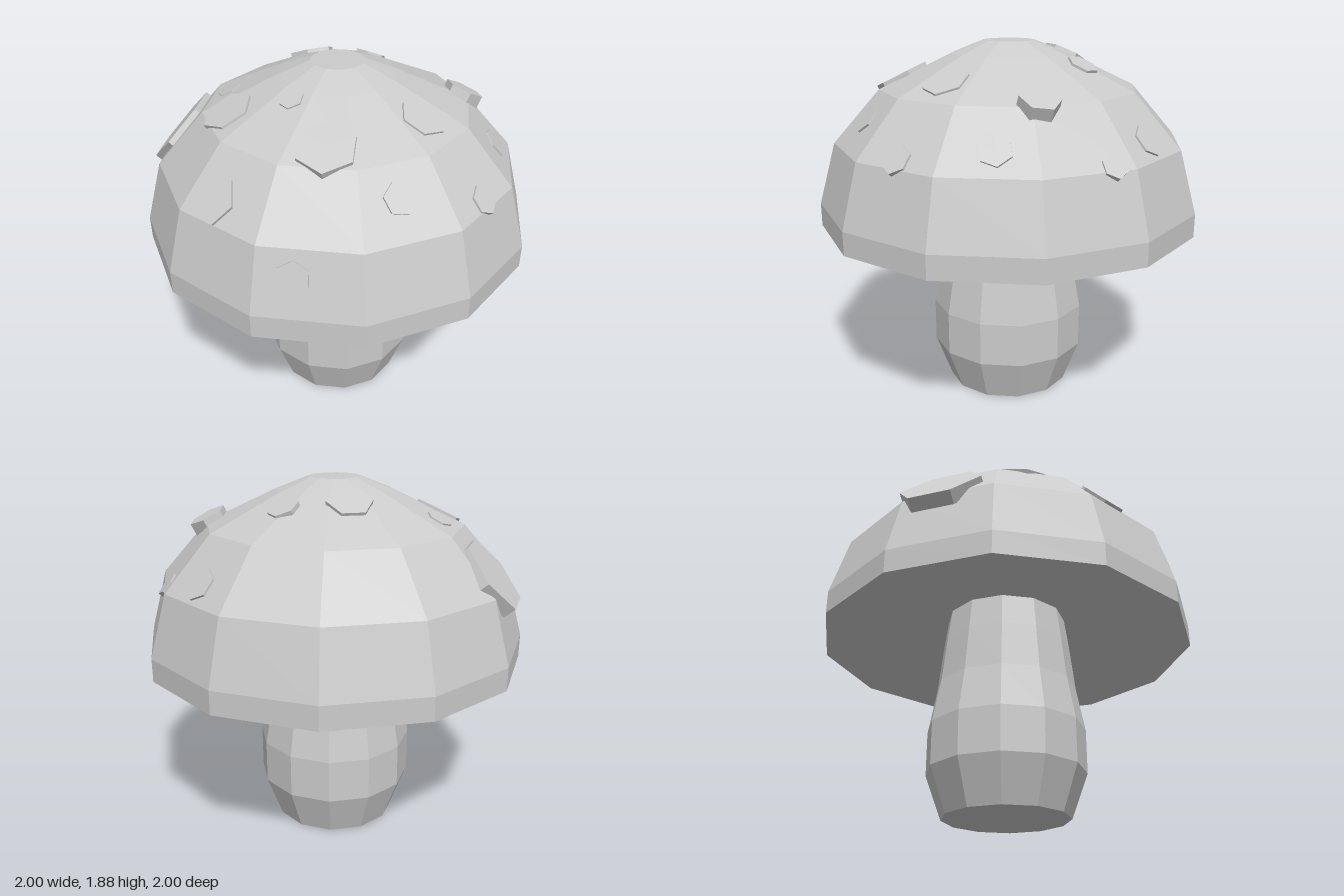
import * as THREE from 'three';

const SIDES = 12;
const STEP = (Math.PI * 2) / SIDES;

// Outer cap profile from rim to crown: [radius, height]
const CAP = [[1, 0.93], [1, 1.05], [0.91, 1.37], [0.67, 1.64], [0.3, 1.815], [0.135, 1.88], [0, 1.88]];
const STEM = [[0, 0], [0.33, 0], [0.415, 0.23], [0.415, 0.46], [0.372, 0.69], [0.345, 0.93], [0.32, 1.12], [0, 1.12]];

// Raised spots: [x, z, radius, spin in degrees, lift above the surface]
const SPOTS = [
  [-0.81, 0.16, 0.215, 30, 0.03],
  [0.17, 0.53, 0.145, 0, 0.02],
  [-0.285, 0.76, 0.125, 30, 0.015],
  [0.17, 0.9, 0.08, 0, 0.01],
  [-0.41, 0.37, 0.13, 0, 0.012],
  [-0.09, 0.33, 0.06, 20, 0.008],
  [0.52, 0.54, 0.08, 15, 0.01],
  [0.48, 0.13, 0.115, 10, 0.01],
  [0.82, 0.22, 0.075, 0, 0.01],
  [0.54, -0.35, 0.1, 15, 0.035],
  [0.76, -0.23, 0.08, 10, 0.01],
  [0.02, -0.4, 0.08, 20, 0.012],
  [-0.24, -0.23, 0.115, 30, 0.015],
  [0.22, -0.78, 0.085, 0, 0.01],
  [0.52, -0.7, 0.065, 0, 0.008],
  [-0.53, 0.14, 0.065, 0, 0.008],
];

function lathe(name, profile, material) {
  const points = profile.map(([r, y]) => new THREE.Vector2(r, y));
  const mesh = new THREE.Mesh(new THREE.LatheGeometry(points, SIDES), material);
  mesh.name = name;
  return mesh;
}

// Height and slope of the faceted cap, plus the facing of the facet at (x, z)
function capSurface(x, z) {
  const angle = Math.atan2(x, z);
  const facing = (Math.floor(angle / STEP) + 0.5) * STEP;
  const r = (Math.hypot(x, z) * Math.cos(angle - facing)) / Math.cos(STEP / 2);
  let i = 1;
  while (i < CAP.length - 2 && r < CAP[i + 1][0]) i++;
  const [r0, y0] = CAP[i];
  const [r1, y1] = CAP[i + 1];
  const y = y0 + ((y1 - y0) * (r0 - r)) / (r0 - r1);
  const tilt = Math.atan2(y1 - y0, (r0 - r1) * Math.cos(STEP / 2));
  return { y, tilt, facing };
}

export function createModel() {
  const group = new THREE.Group();
  group.name = 'mushroom';
  const material = new THREE.MeshStandardMaterial({ color: 0xcccccc, flatShading: true });

  group.add(lathe('stem', STEM, material));

  // Cap with a shallow hollow underside
  group.add(lathe('cap', [[0, 1.18], ...CAP], material));

  // Hexagonal spots lying on the cap facets
  const spots = new THREE.Group();
  spots.name = 'spots';
  for (const [x, z, radius, spin, lift] of SPOTS) {
    const { y, tilt, facing } = capSurface(x, z);
    const thickness = 0.04 + lift;
    const geometry = new THREE.CylinderGeometry(radius, radius, thickness, 6);
    geometry.rotateY(THREE.MathUtils.degToRad(spin));
    geometry.translate(0, lift - thickness / 2, 0);
    const spot = new THREE.Mesh(geometry, material);
    spot.name = 'spot';
    spot.position.set(x, y, z);
    spot.rotation.set(tilt, facing, 0, 'YXZ');
    spots.add(spot);
  }
  group.add(spots);
  return group;
}
